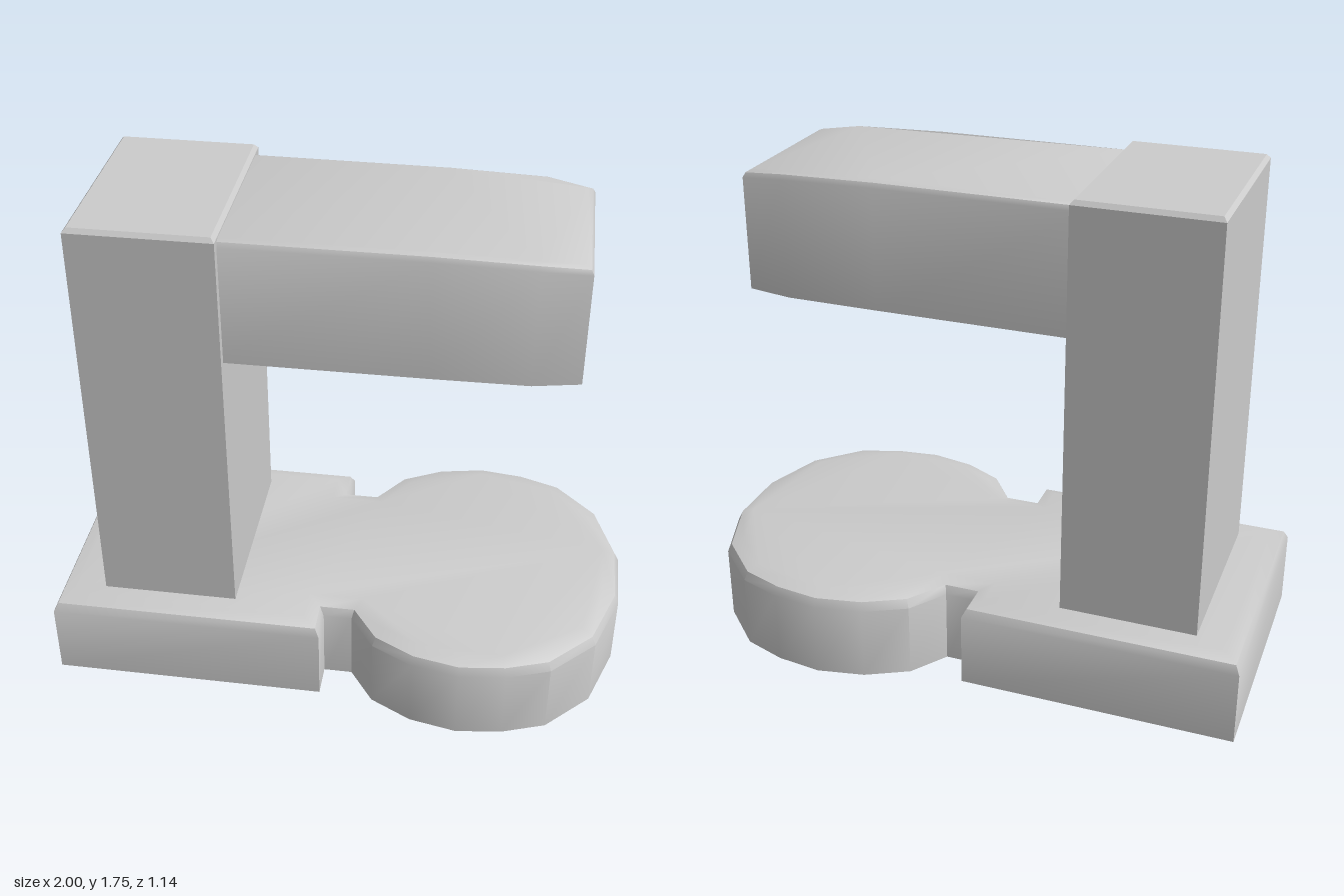
import * as THREE from 'three';
import { toCreasedNormals } from 'three/addons/utils/BufferGeometryUtils.js';

const material = new THREE.MeshStandardMaterial({ color: 0xcccccc });

// Mirror a half outline (x, z > 0, left to right) into a closed loop of (x, -z) points.
function mirrored(half) {
  const front = half.map(([x, z]) => new THREE.Vector2(x, -z));
  const back = half.map(([x, z]) => new THREE.Vector2(x, z)).reverse();
  return [...front, ...back];
}

// Move a counter-clockwise loop inward by d with mitred corners.
function inset(loop, d) {
  const n = loop.length;
  const normal = (a, b) => new THREE.Vector2(a.y - b.y, b.x - a.x).normalize();
  return loop.map((p, i) => {
    const n1 = normal(loop[(i + n - 1) % n], p);
    const n2 = normal(p, loop[(i + 1) % n]);
    return n1.clone().add(n2).multiplyScalar(d / (1 + n1.dot(n2))).add(p);
  });
}

// Stack inset copies of an outline; layers are [height, inset] from bottom to top.
function bevelledSlab(name, half, layers, bend = (x, y) => y) {
  const loop = mirrored(half);
  const n = loop.length;
  const positions = [];
  const index = [];
  for (const [y, d] of layers) {
    for (const p of inset(loop, d)) positions.push(p.x, bend(p.x, y), -p.y);
  }
  for (let k = 0; k < layers.length - 1; k++) {
    for (let i = 0; i < n; i++) {
      const j = (i + 1) % n;
      const a = k * n + i, b = k * n + j;
      index.push(a, b, b + n, a, b + n, a + n);
    }
  }
  const top = (layers.length - 1) * n;
  const topLoop = inset(loop, layers[layers.length - 1][1]);
  for (const [a, b, c] of THREE.ShapeUtils.triangulateShape(topLoop, [])) {
    index.push(top + a, top + b, top + c);
  }
  for (const [a, b, c] of THREE.ShapeUtils.triangulateShape(loop, [])) index.push(a, c, b);
  const geometry = new THREE.BufferGeometry();
  geometry.setAttribute('position', new THREE.Float32BufferAttribute(positions, 3));
  geometry.setIndex(index);
  const mesh = new THREE.Mesh(toCreasedNormals(geometry, 0.6), material);
  mesh.name = name;
  return mesh;
}

export function createModel() {
  const model = new THREE.Group();
  model.name = 'dispenser';

  // Base: rectangular foot, short neck and faceted round tray in one slab
  model.add(bevelledSlab('base', [
    [-1, 0.455], [-0.04, 0.455], [-0.04, 0.34], [0.06, 0.34], [0.15, 0.465],
    [0.295, 0.54], [0.46, 0.572], [0.62, 0.552], [0.77, 0.5], [0.92, 0.35], [1, 0.12],
  ], [[0, 0], [0.265, 0], [0.295, 0.015], [0.31, 0.06]]));

  // Upright column
  model.add(bevelledSlab('column', [[-0.833, 0.345], [-0.358, 0.345]],
    [[0.3, 0], [1.74, 0], [1.755, 0.012]]));

  // Arm, tapering at the nose and dropping slightly on top
  model.add(bevelledSlab('arm',
    [[-0.4, 0.317], [0.3, 0.315], [0.62, 0.31], [0.777, 0.278]],
    [[1.297, 0], [1.712, 0], [1.728, 0.008], [1.735, 0.025]],
    (x, y) => (y < 1.5 ? y : y - 0.007 * THREE.MathUtils.smoothstep(x, 0.2, 0.6)
      - 0.02 * THREE.MathUtils.clamp((x - 0.6) / 0.17, 0, 1))));

  // Outlet under the arm
  const profile = [[0, 1.22], [0.132, 1.22], [0.144, 1.232], [0.158, 1.275], [0.158, 1.31]]
    .map(([r, y]) => new THREE.Vector2(r, y));
  const outletGeometry = new THREE.LatheGeometry(profile, 8, Math.PI / 8);
  const outlet = new THREE.Mesh(toCreasedNormals(outletGeometry, 0.6), material);
  outlet.name = 'outlet';
  outlet.position.x = 0.503;
  outlet.scale.z = 0.92;
  model.add(outlet);

  return model;
}
